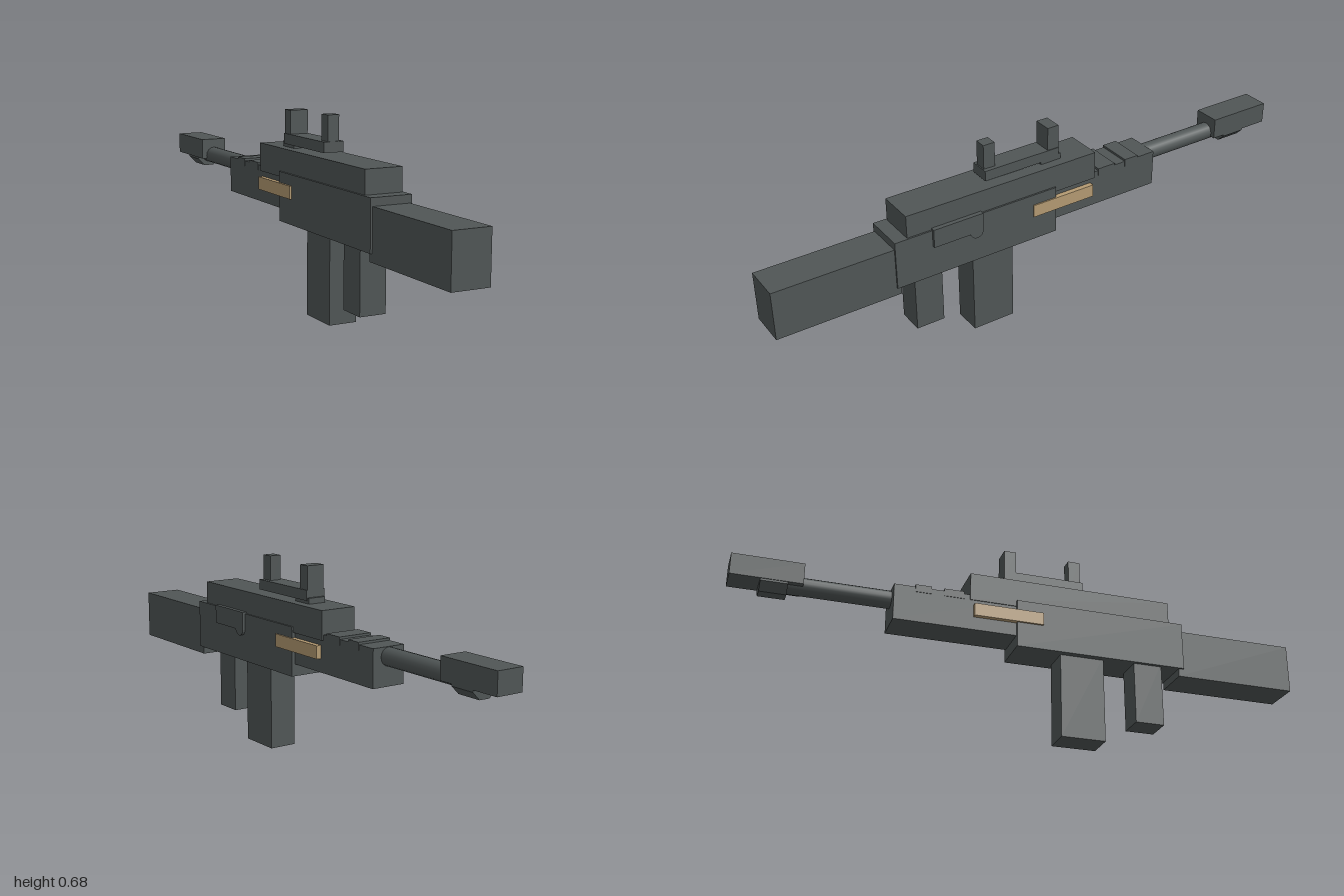
import * as THREE from 'three';

export function createModel() {
  const model = new THREE.Group();
  const metal = new THREE.MeshStandardMaterial({ color: 0x505656 });
  metal.name = 'dark grey';
  const wood = new THREE.MeshStandardMaterial({ color: 0xb49a72 });
  wood.name = 'tan';

  const add = (name, geometry, material = metal) => {
    const mesh = new THREE.Mesh(geometry, material);
    mesh.name = name;
    model.add(mesh);
    return mesh;
  };

  // Box given by its limits on each axis
  const box = (name, [x0, x1], [y0, y1], [z0, z1], material) =>
    add(name, new THREE.BoxGeometry(x1 - x0, y1 - y0, z1 - z0), material)
      .position.set((x0 + x1) / 2, (y0 + y1) / 2, (z0 + z1) / 2);

  // Cylinder lying along z
  const rod = (name, radius, sides, y, [z0, z1], turn = 0) => {
    const geometry = new THREE.CylinderGeometry(radius, radius, z1 - z0, sides);
    geometry.rotateY(turn).rotateX(Math.PI / 2);
    const mesh = add(name, sides > 8 ? geometry : geometry.toNonIndexed());
    if (sides <= 8) mesh.geometry.computeVertexNormals();
    mesh.position.set(-0.005, y, (z0 + z1) / 2);
  };

  // Body
  box('stock', [-0.069, 0.064], [0.27, 0.443], [0.563, 1]);
  box('receiver', [-0.076, 0.07], [0.298, 0.47], [-0.035, 0.58]);
  box('upperReceiver', [-0.069, 0.064], [0.45, 0.55], [-0.2, 0.533]);
  box('handguard', [-0.066, 0.057], [0.34, 0.469], [-0.463, -0.03]);
  for (const z of [[-0.29, -0.22], [-0.39, -0.335]])
    box('handguardRidge', [-0.068, 0.059], [0.45, 0.477], z);
  box('sidePanel', [-0.083, 0.075], [0.387, 0.432], [-0.187, 0.058], wood);

  // Grip and magazine
  box('grip', [-0.063, 0.031], [0.08, 0.31], [0.395, 0.498]);
  box('magazine', [-0.053, 0.047], [0, 0.31], [0.128, 0.285]);

  // Barrel and muzzle
  rod('barrel', 0.031, 16, 0.437, [-0.85, -0.45]);
  rod('muzzleCollar', 0.05, 8, 0.437, [-0.9, -0.81], Math.PI / 8);
  box('muzzle', [-0.054, 0.043], [0.425, 0.5], [-1, -0.76]);

  // Side cover on the left, with a small hooked lip below its forward end
  const cover = new THREE.Shape();
  cover.moveTo(-0.445, 0.41);
  cover.lineTo(-0.31, 0.41);
  cover.quadraticCurveTo(-0.3, 0.388, -0.282, 0.389);
  cover.quadraticCurveTo(-0.262, 0.392, -0.26, 0.412);
  cover.lineTo(-0.26, 0.476);
  cover.lineTo(-0.445, 0.476);
  const coverGeometry = new THREE.ExtrudeGeometry(cover, { depth: 0.02, bevelEnabled: false, curveSegments: 5 });
  coverGeometry.rotateY(Math.PI / 2);
  add('sideCover', coverGeometry).position.x = 0.06;

  // Sights
  box('sightFoot', [-0.036, 0.03], [0.545, 0.57], [-0.08, 0]);
  box('sightRail', [-0.04, 0.033], [0.56, 0.596], [-0.07, 0.22]);
  box('forwardSight', [-0.036, 0.03], [0.57, 0.678], [-0.07, -0.027]);
  box('rearSight', [-0.024, 0.018], [0.57, 0.683], [0.173, 0.216]);

  return model;
}
